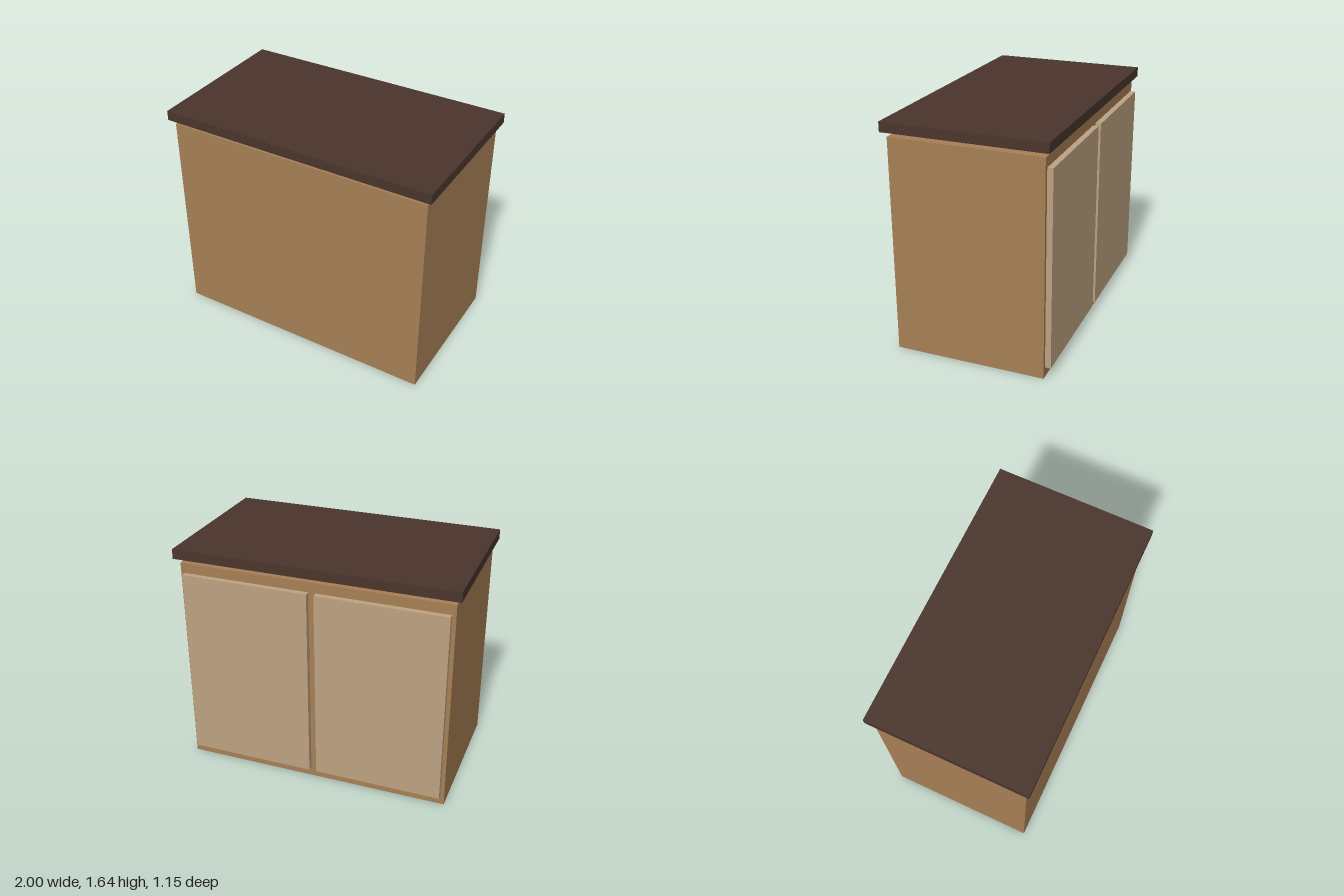
import * as THREE from 'three';

export function createModel() {
  const group = new THREE.Group();
  const wood = new THREE.MeshStandardMaterial({ color: 0xa67f55 });
  const darkWood = new THREE.MeshStandardMaterial({ color: 0x4a352c });
  const paleWood = new THREE.MeshStandardMaterial({ color: 0xbea282 });

  // Box given by its size and centre
  const addBox = (name, material, [w, h, d], [x, y, z]) => {
    const mesh = new THREE.Mesh(new THREE.BoxGeometry(w, h, d), material);
    mesh.name = name;
    mesh.position.set(x, y, z);
    group.add(mesh);
  };

  // Cabinet body, with the countertop raised slightly above it
  addBox('cabinetBody', wood, [1.93, 1.537, 1.073], [0, 0.7685, 0.0035]);
  addBox('countertop', darkWood, [2, 0.07, 1.142], [0, 1.609, 0.002]);

  // Pair of doors on the back face
  for (const side of [-1, 1]) {
    const name = side > 0 ? 'leftDoor' : 'rightDoor';
    addBox(name, paleWood, [0.912, 1.394, 0.04], [side * 0.482, 0.768, -0.553]);
  }
  return group;
}
